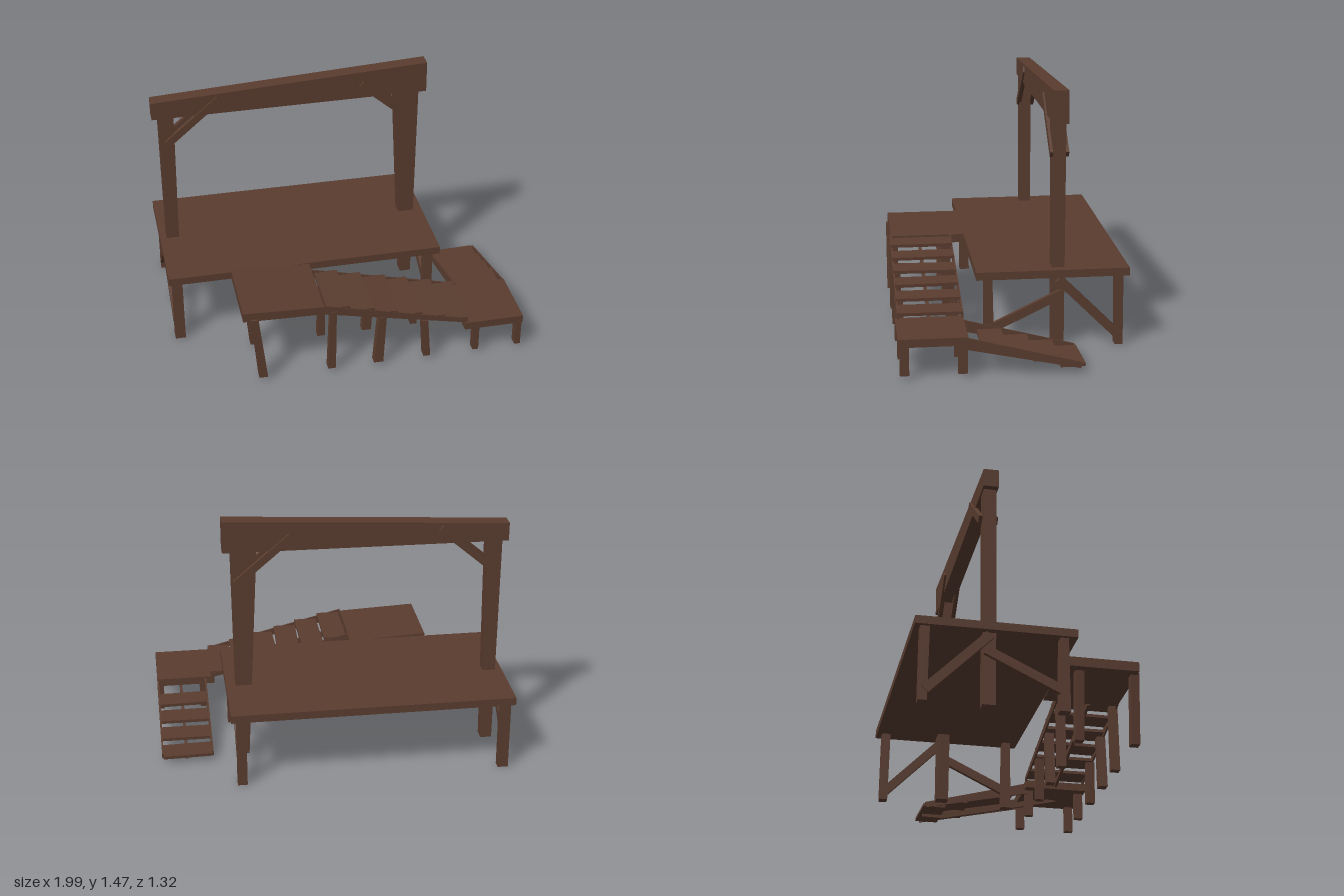
import * as THREE from 'three';

export function createModel() {
  const model = new THREE.Group();
  const wood = new THREE.MeshStandardMaterial({ color: 0x5a3c2f, flatShading: true });

  function add(name, geometry) {
    const mesh = new THREE.Mesh(geometry, wood);
    mesh.name = name;
    model.add(mesh);
    return mesh;
  }
  const outline = (pts) => new THREE.Shape(pts.map(([a, b]) => new THREE.Vector2(a, b)));

  // Outline in x/y, thick from z0 to z1
  function frontPanel(name, pts, z0, z1) {
    const g = new THREE.ExtrudeGeometry(outline(pts), { depth: z1 - z0, bevelEnabled: false });
    return add(name, g.translate(0, 0, z0));
  }
  // Outline in z/y, thick from x0 to x1
  function sidePanel(name, pts, x0, x1) {
    const g = new THREE.ExtrudeGeometry(outline(pts), { depth: x1 - x0, bevelEnabled: false });
    return add(name, g.rotateY(-Math.PI / 2).translate(x1, 0, 0));
  }
  function box(name, x0, x1, y0, y1, z0, z1) {
    const g = new THREE.BoxGeometry(x1 - x0, y1 - y0, z1 - z0);
    return add(name, g.translate((x0 + x1) / 2, (y0 + y1) / 2, (z0 + z1) / 2));
  }
  // Four corners of a square-ended strut from a to b
  function strut([ax, ay], [bx, by], width) {
    const k = width / 2 / Math.hypot(bx - ax, by - ay);
    const nx = -(by - ay) * k, ny = (bx - ax) * k;
    return [[ax + nx, ay + ny], [bx + nx, by + ny], [bx - nx, by - ny], [ax - nx, ay - ny]];
  }
  // Loose tread, slightly twisted
  function tread(name, x, y, z, w, d, yaw, roll) {
    const mesh = add(name, new THREE.BoxGeometry(w, 0.018, d));
    mesh.position.set(x, y, z);
    mesh.rotation.set(0, yaw, roll);
  }

  // Main deck
  box('deck', -1, 0.61, 0.415, 0.46, -0.66, 0.2);

  // Tapered uprights and the crossbeam
  frontPanel('rightPost', [[-0.96, 0.01], [-0.895, 0.01], [-0.875, 1.3], [-0.965, 1.3]], -0.3, -0.23);
  frontPanel('leftPost', [[0.485, 0.01], [0.55, 0.01], [0.565, 1.3], [0.42, 1.3]], -0.3, -0.23);
  frontPanel('crossbeam', [[-1, 1.275], [0.61, 1.285], [0.61, 1.47], [-1, 1.38]], -0.308, -0.224);

  // Knee braces on both faces of the frame
  for (const [z0, z1] of [[-0.24, -0.215], [-0.32, -0.295]]) {
    frontPanel('kneeBrace', strut([-0.92, 1.108], [-0.61, 1.372], 0.042), z0, z1);
    frontPanel('kneeBrace', strut([0.54, 1.1], [0.22, 1.375], 0.042), z0, z1);
  }

  // Deck legs and diagonal struts at each end
  for (const [x0, x1, s0, s1] of [[-0.98, -0.92, -0.983, -0.958], [0.525, 0.58, 0.55, 0.575]]) {
    sidePanel('frontDeckLeg', [[0.098, 0], [0.157, 0], [0.153, 0.42], [0.108, 0.42]], x0, x1);
    sidePanel('backDeckLeg', [[-0.633, 0], [-0.587, 0], [-0.58, 0.42], [-0.63, 0.42]], x0, x1);
    sidePanel('backStrut', strut([-0.265, 0.395], [-0.6, 0.06], 0.05), s0, s1);
    sidePanel('frontStrut', strut([0.12, 0.115], [-0.285, 0.31], 0.05), s0, s1);
  }

  // Upper landing
  frontPanel('upperLanding', [[-0.64, 0.42], [-0.18, 0.405], [-0.18, 0.455], [-0.64, 0.475]], 0.2, 0.635);

  // Upper stair: thin stringers and open level treads
  const upperSide = [[-0.18, 0.41], [0.665, 0.222], [0.665, 0.25], [-0.18, 0.465]];
  for (const z of [0.277, 0.633]) frontPanel('upperStringer', upperSide, z, z + 0.01);
  frontPanel('upperMiddleStringer', [[-0.18, 0.395], [0.665, 0.19], [0.665, 0.225], [-0.18, 0.43]], 0.457, 0.473);
  for (let i = 0; i < 6; i++) {
    const twist = 0.03 * Math.sin(i * 2.4);
    tread('upperTread', -0.1 + i * 0.14, 0.437 - i * 0.0365, 0.46, 0.135, 0.36, twist, -0.02 + twist * 0.4);
  }

  // Lower landing
  box('lowerLanding', 0.645, 0.993, 0.182, 0.228, 0.28, 0.655);

  // Lower stair running back along the side
  const lowerSide = [[0.3, 0.16], [-0.325, 0.028], [-0.335, 0.06], [0.3, 0.227]];
  for (const x of [0.696, 0.984]) sidePanel('lowerStringer', lowerSide, x, x + 0.01);
  sidePanel('lowerMiddleStringer', [[0.52, 0.175], [-0.2, 0.015], [-0.33, 0.018], [-0.33, 0.035], [0.45, 0.19]], 0.842, 0.858);
  for (let i = 0; i < 4; i++) {
    const twist = 0.03 * Math.sin(1 + i * 2.4);
    tread('lowerTread', 0.845, 0.158 - i * 0.038, 0.14 - i * 0.14, 0.285, 0.135, twist, 0);
  }

  // Leaning support legs in two rows: bottom x0, x1, top x0, x1, top height
  const legs = [
    [-0.56, -0.51, -0.595, -0.555, 0.43],
    [-0.16, -0.115, -0.145, -0.11, 0.42],
    [0.11, 0.165, 0.135, 0.18, 0.34],
    [0.405, 0.445, 0.388, 0.425, 0.275],
    [0.7, 0.735, 0.7, 0.735, 0.2],
    [0.955, 0.99, 0.955, 0.99, 0.2],
  ];
  for (const [b0, b1, t0, t1, top] of legs) {
    for (const z of [0.285, 0.597]) {
      frontPanel('stairLeg', [[b0, 0.022], [b1, 0.022], [t1, top], [t0, top]], z, z + 0.05);
    }
  }

  return model;
}
